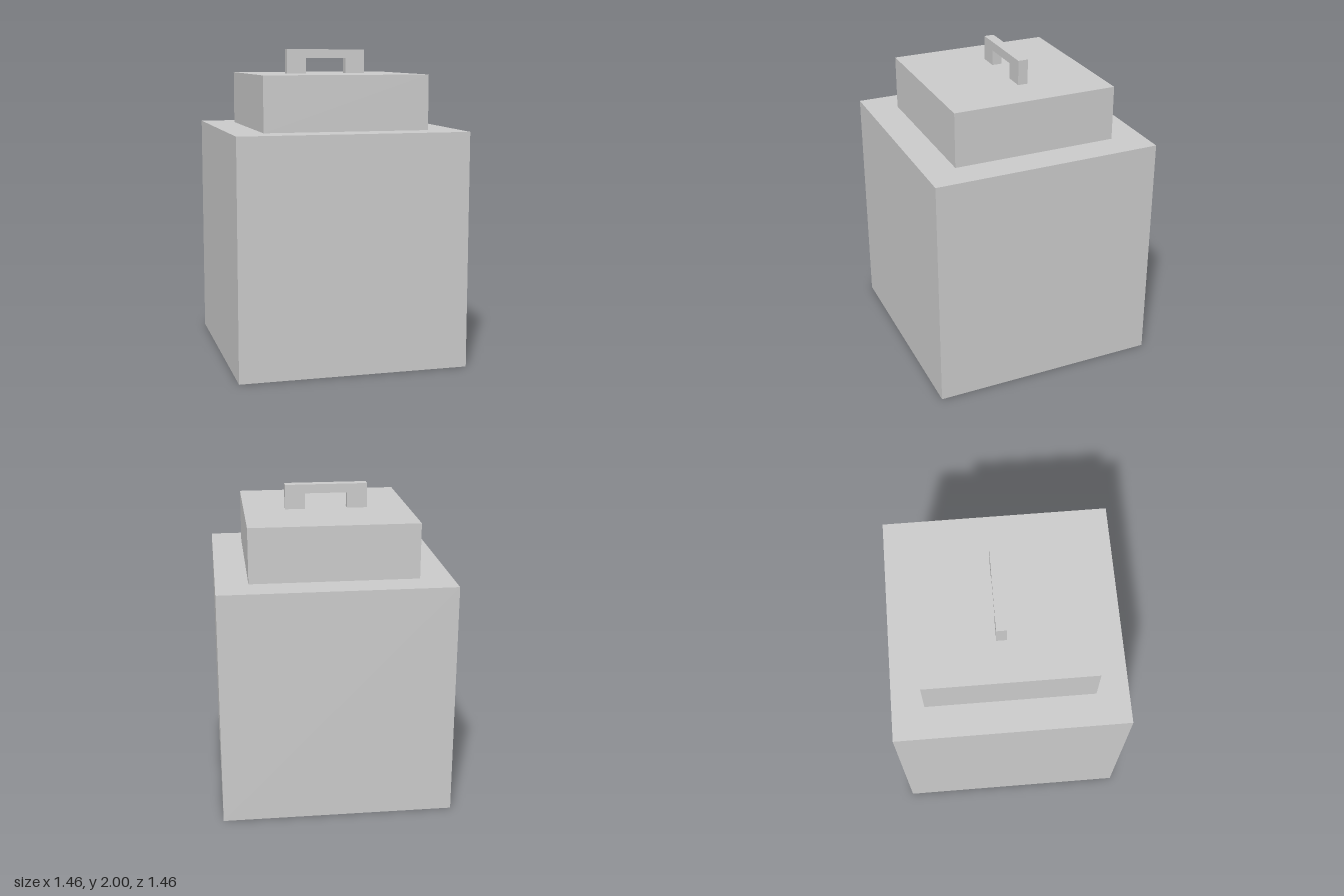
import * as THREE from 'three';

const material = new THREE.MeshStandardMaterial({ color: 0xcccccc, flatShading: true });

function addMesh(group, name, geometry, x, y, z) {
  const mesh = new THREE.Mesh(geometry, material);
  mesh.name = name;
  mesh.position.set(x, y, z);
  group.add(mesh);
}

export function createModel() {
  const model = new THREE.Group();
  model.name = 'lidded box';

  const bodyTop = 1.495, lidTop = 1.843, top = 2;
  const bodyWidth = 1.46, lidWidth = 1.055;

  // Square body and the smaller square lid on it
  addMesh(model, 'body', new THREE.BoxGeometry(bodyWidth, bodyTop, bodyWidth), 0, bodyTop / 2, 0);
  addMesh(model, 'lid', new THREE.BoxGeometry(lidWidth, lidTop - bodyTop, lidWidth), 0, (bodyTop + lidTop) / 2, 0);

  // Bridge-shaped handle, set just behind the centre line
  const outer = 0.263, inner = 0.135, depth = 0.064;
  const height = top - lidTop, gap = 0.1;
  const outline = new THREE.Shape([
    [-outer, 0], [-inner, 0], [-inner, gap], [inner, gap],
    [inner, 0], [outer, 0], [outer, height], [-outer, height],
  ].map(([x, y]) => new THREE.Vector2(x, y)));
  const handle = new THREE.ExtrudeGeometry(outline, { depth, bevelEnabled: false });
  addMesh(model, 'handle', handle, 0, lidTop, -depth - 0.001);

  return model;
}
